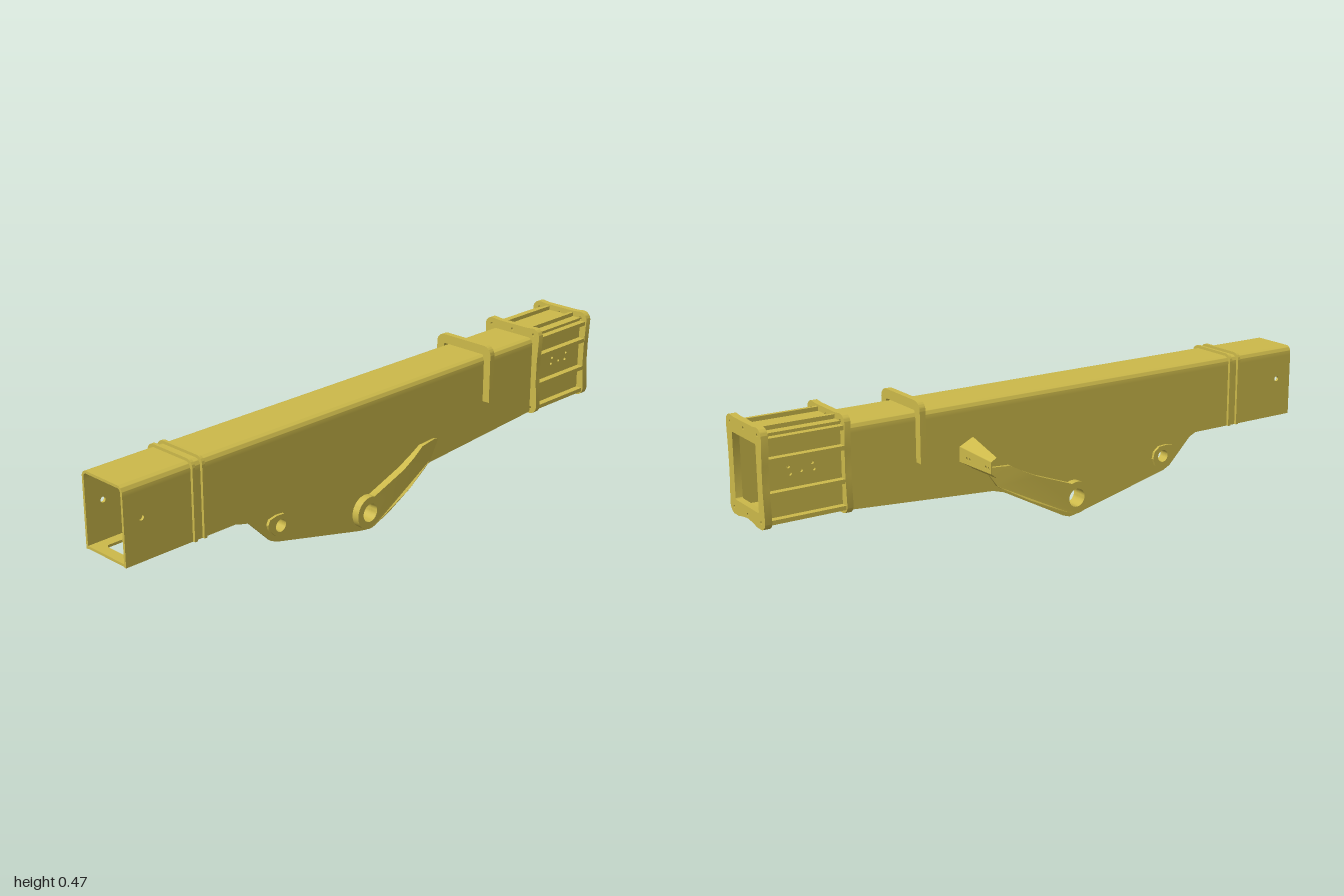
import * as THREE from 'three';
import { toCreasedNormals } from 'three/addons/utils/BufferGeometryUtils.js';

const mat = new THREE.MeshStandardMaterial({ color: 0xccb94a, side: THREE.DoubleSide });
const W = 0.0875; // half width of the beam
const T = 0.008;  // sheet thickness
const TOP = 0.435;

const poly = (pts) => new THREE.Shape(pts.map((p) => new THREE.Vector2(...p)));

const oval = (x, y, rx, ry = rx) => new THREE.Path().absellipse(x, y, rx, ry, 0, Math.PI * 2, true);

function roundRect(path, x0, y0, x1, y1, r) {
  path.moveTo(x0 + r, y0);
  path.lineTo(x1 - r, y0);
  path.absarc(x1 - r, y0 + r, r, -Math.PI / 2, 0, false);
  path.lineTo(x1, y1 - r);
  path.absarc(x1 - r, y1 - r, r, 0, Math.PI / 2, false);
  path.lineTo(x0 + r, y1);
  path.absarc(x0 + r, y1 - r, r, Math.PI / 2, Math.PI, false);
  path.lineTo(x0, y0 + r);
  path.absarc(x0 + r, y0 + r, r, Math.PI, Math.PI * 1.5, false);
  return path;
}

// Inverted U: an outer arch with a wall of given thickness
function arch(w, y0, y1, r, wall) {
  const s = new THREE.Shape();
  const q = Math.max(r - wall, 0.004), i = w - wall;
  s.moveTo(w, y0);
  s.lineTo(w, y1 - r);
  s.absarc(w - r, y1 - r, r, 0, Math.PI / 2, false);
  s.lineTo(-w + r, y1);
  s.absarc(-w + r, y1 - r, r, Math.PI / 2, Math.PI, false);
  s.lineTo(-w, y0);
  s.lineTo(-i, y0);
  s.lineTo(-i, y1 - wall - q);
  s.absarc(-i + q, y1 - wall - q, q, Math.PI, Math.PI / 2, true);
  s.lineTo(i - q, y1 - wall);
  s.absarc(i - q, y1 - wall - q, q, Math.PI / 2, 0, true);
  s.lineTo(i, y0);
  return s;
}

const extrude = (shape, depth) =>
  new THREE.ExtrudeGeometry(shape, { depth, bevelEnabled: false, curveSegments: 12 });

export function createModel() {
  const root = new THREE.Group();
  root.name = 'telescopicBeam';
  const g = new THREE.Group();
  g.name = 'beamAssembly';
  g.position.z = 0.0735;
  root.add(g);

  const add = (name, geo, parent = g) => {
    const m = new THREE.Mesh(toCreasedNormals(geo, 0.6), mat);
    m.name = name;
    parent.add(m);
    return m;
  };
  const alongX = (name, shape, x, depth) => add(name, extrude(shape, depth).rotateY(Math.PI / 2).translate(x, 0, 0));
  const alongZ = (name, shape, z, depth, parent) => add(name, extrude(shape, depth).translate(0, 0, z), parent);
  const box = (name, x0, x1, y0, y1, z0, z1, parent) =>
    add(name, new THREE.BoxGeometry(x1 - x0, y1 - y0, z1 - z0)
      .translate((x0 + x1) / 2, (y0 + y1) / 2, (z0 + z1) / 2), parent);

  // Rounded top of the hollow beam
  alongX('topChannel', arch(W, 0.405, TOP, 0.02, T), -1, 1.73);

  // Sloping floor plates, with slots in the long one
  const floor = (name, x0, y0, x1, y1, holes = []) => {
    const len = Math.hypot(x1 - x0, y1 - y0), h = W - T;
    const s = poly([[0, -h], [len, -h], [len, h], [0, h]]);
    s.holes.push(...holes);
    add(name, extrude(s, T).rotateX(Math.PI / 2).rotateZ(Math.atan2(y1 - y0, x1 - x0)).translate(x0, y0, 0));
  };
  const slot = roundRect(new THREE.Path(), 0.035, -0.045, 0.1, 0.045, 0.012);
  floor('rearFloor', -1, 0.207, -0.3, 0.207, [slot]);
  floor('rearRamp', -0.3, 0.207, -0.1, 0.117);
  floor('lowFloor', -0.1, 0.117, 0.08, 0.113);
  floor('frontRamp', 0.08, 0.113, 0.2, 0.148);
  floor('frontFloor', 0.2, 0.148, 0.73, 0.184, [0.12, 0.26, 0.4].map((x) => oval(x, 0, 0.045, 0.025)));

  // Mirrored sides
  for (const s of [1, -1]) {
    const side = new THREE.Group();
    side.name = s > 0 ? 'leftSide' : 'rightSide';
    side.scale.z = s;
    g.add(side);

    const plate = poly([[-1, 0.197], [-0.585, 0.196], [-0.56, 0.185], [-0.475, 0.1], [-0.45, 0.088], [-0.1, 0.005],
      [-0.07, 0], [-0.045, 0.008], [0.18, 0.128], [0.22, 0.14], [0.73, 0.176], [0.73, 0.405], [-1, 0.405]]);
    plate.holes.push(oval(-0.08, 0.068, 0.03), oval(-0.44, 0.14, 0.02), oval(-0.94, 0.328, 0.009));
    alongZ('sidePlate', plate, W - T, T, side);

    // Main pin reinforcement, thinning toward its front end
    const arm = new THREE.Shape();
    arm.absarc(-0.08, 0.068, 0.053, 1.2, 5.2, false);
    [[0, 0.042], [0.1, 0.093], [0.18, 0.135], [0.21, 0.155], [0.25, 0.213], [0.235, 0.219],
      [0.165, 0.215], [0.12, 0.19], [0.07, 0.166], [0, 0.14]].forEach((p) => arm.lineTo(...p));
    arm.holes.push(oval(-0.08, 0.068, 0.03));
    const armGeo = extrude(arm, 0.025);
    const p = armGeo.attributes.position;
    for (let i = 0; i < p.count; i++) {
      const k = THREE.MathUtils.clamp((0.29 - p.getX(i)) / 0.2, 0.15, 1);
      p.setZ(i, W + p.getZ(i) * k);
    }
    armGeo.computeVertexNormals();
    add('pinReinforcement', armGeo, side);

    // Pin bosses
    const ring = (x, y, r, hole) => {
      const sh = new THREE.Shape().absarc(x, y, r, 0, Math.PI * 2, false);
      sh.holes.push(oval(x, y, hole));
      return sh;
    };
    alongZ('innerPinBoss', ring(-0.08, 0.068, 0.053, 0.03), W - T - 0.024, 0.024, side);
    alongZ('innerRearBoss', ring(-0.44, 0.14, 0.036, 0.02), W - T - 0.02, 0.02, side);
    const pad = poly([[-0.49, 0.155], [-0.485, 0.138], [-0.46, 0.112], [-0.435, 0.102], [-0.41, 0.112],
      [-0.4, 0.135], [-0.405, 0.158], [-0.425, 0.174], [-0.455, 0.176], [-0.482, 0.17]]);
    pad.holes.push(oval(-0.44, 0.14, 0.02));
    alongZ('rearPinPad', pad, W, 0.009, side);

    // End section wall with bolt holes and ribs
    const wall = poly([[0.73, 0.19], [0.985, 0.19], [0.985, 0.44], [0.73, 0.44]]);
    [[0.825, 0.32], [0.83, 0.34], [0.865, 0.322], [0.9, 0.318], [0.905, 0.34]]
      .forEach(([x, y]) => wall.holes.push(oval(x, y, 0.005)));
    alongZ('headWall', wall, W - T, T, side);
    for (const y of [0.185, 0.265, 0.365, 0.425])
      box('sideRib', 0.735, 0.98, y, y + 0.013, W - 0.002, W + 0.022, side);
    for (const y of [0.445, 0.18])
      box('edgeRib', 0.735, 0.98, y, y + 0.015, 0.045, 0.057, side);
    box('innerGuide', 0.75, 0.9, 0.245, 0.39, 0.056, 0.07, side);
  }

  // End section roof, floor and bulkhead
  box('headRoof', 0.73, 0.985, 0.435, 0.447, -W, W);
  box('headFloor', 0.73, 0.985, 0.185, 0.195, -W, W);
  box('bulkhead', 0.735, 0.743, 0.19, 0.44, -W + T, W - T);

  // Flanges with slightly waisted sides and an arched lower edge
  const flange = (name, x, depth) => {
    const s = new THREE.Shape();
    const r = 0.028, w = 0.115, y0 = 0.17, y1 = 0.469;
    s.moveTo(0, 0.18);
    s.quadraticCurveTo(0.035, 0.177, 0.06, y0);
    s.lineTo(w - r, y0);
    s.absarc(w - r, y0 + r, r, -Math.PI / 2, 0, false);
    s.lineTo(w - 0.006, 0.29);
    s.lineTo(w - 0.005, 0.36);
    s.absarc(w - r, y1 - r, r, 0, Math.PI / 2, false);
    s.lineTo(0.06, y1 - 0.003);
    s.lineTo(-0.06, y1 - 0.003);
    s.absarc(-w + r, y1 - r, r, Math.PI / 2, Math.PI, false);
    s.lineTo(-w + 0.005, 0.36);
    s.lineTo(-w + 0.006, 0.29);
    s.absarc(-w + r, y0 + r, r, Math.PI, Math.PI * 1.5, false);
    s.lineTo(-0.06, y0);
    s.quadraticCurveTo(-0.035, 0.177, 0, 0.18);
    s.holes.push(roundRect(new THREE.Path(), -0.077, 0.216, 0.077, 0.419, 0.006));
    for (const z of [-0.089, 0, 0.089]) for (const y of [0.191, 0.447]) s.holes.push(oval(z, y, 0.005));
    alongX(name, s, x, depth);
  };
  flange('innerFlange', 0.718, 0.02);
  flange('endFlange', 0.975, 0.022);

  // Saddle over the beam and the pair of thin collars
  alongX('saddle', arch(0.114, 0.28, 0.469, 0.03, 0.03), 0.47, 0.02);
  for (const x of [-0.765, -0.73]) {
    alongX('collar', arch(W + 0.009, 0.197, TOP + 0.009, 0.025, 0.012), x, 0.01);
  }

  // Tapered channel bracket reaching out from the back
  const web = poly([[0.082, 0.255], [0.262, 0.26], [0.262, 0.297], [0.082, 0.303]]);
  [0.13, 0.146, 0.235, 0.251].forEach((z) => web.holes.push(oval(z, 0.275, 0.005)));
  alongX('bracketWeb', web, 0.336, 0.004);
  const lip = (ya, yb, yc, yd) => {
    const geo = new THREE.BufferGeometry();
    const a = [0.338, ya, -0.082], b = [0.338, yb, -0.262], c = [0.32, yc, -0.262], d = [0.29, yd, -0.082];
    geo.setAttribute('position', new THREE.Float32BufferAttribute([a, b, c, a, c, d].flat(), 3));
    geo.computeVertexNormals();
    add('bracketLip', geo);
  };
  lip(0.303, 0.297, 0.308, 0.326);
  lip(0.255, 0.26, 0.244, 0.224);

  return root;
}
